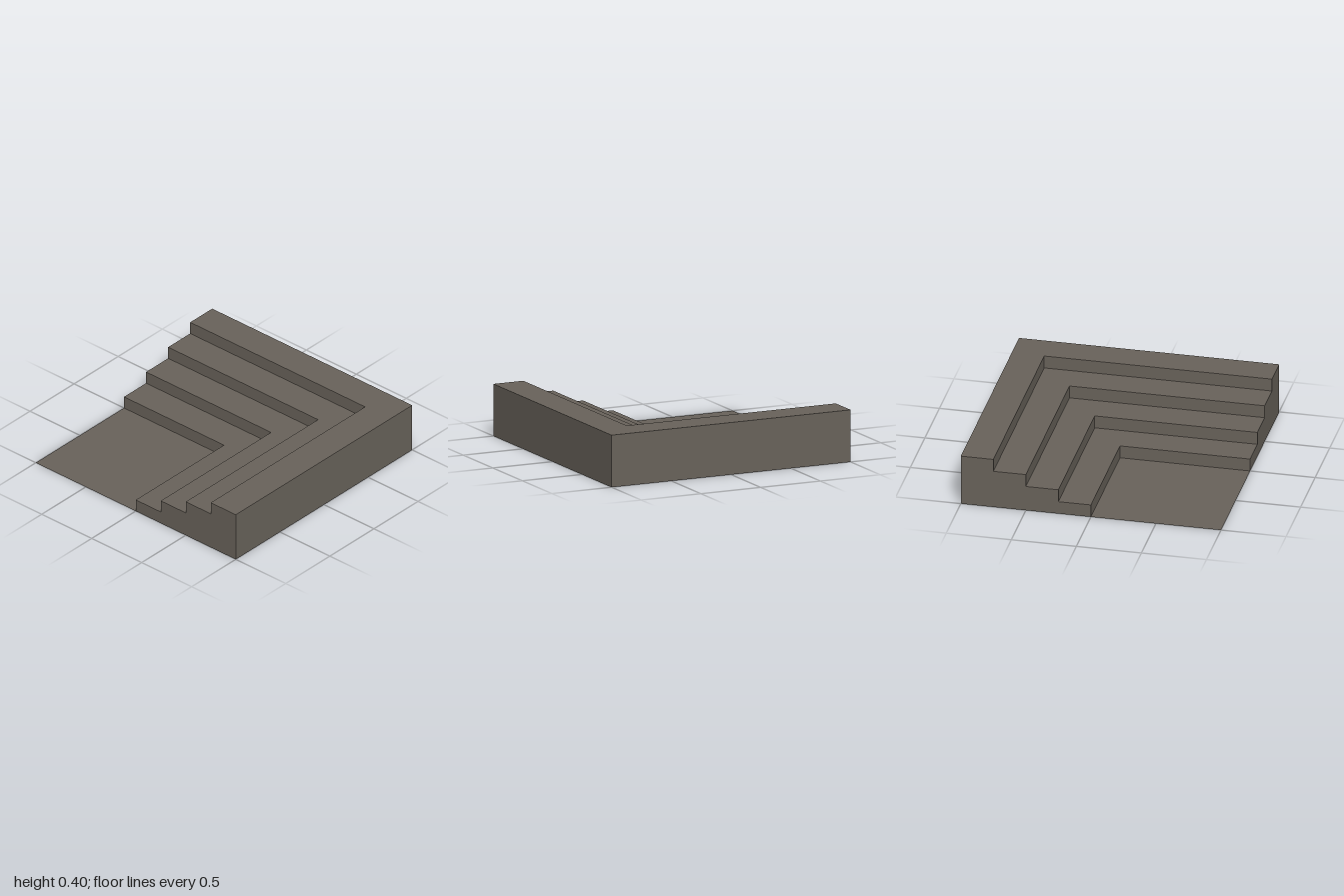
import * as THREE from 'three';

const STEPS = 4, RUN = 0.25, RISE = 0.1, HEIGHT = STEPS * RISE;

export function createModel() {
  const group = new THREE.Group();
  const stone = new THREE.MeshStandardMaterial({ color: 0x68625a, side: THREE.DoubleSide });
  stone.name = 'greyBrownStone';

  const add = (name, geometry, x = 0, y = 0, z = 0) => {
    const mesh = new THREE.Mesh(geometry, stone);
    mesh.name = name;
    mesh.position.set(x, y, z);
    group.add(mesh);
  };
  const flat = (points) =>
    new THREE.ShapeGeometry(new THREE.Shape(points.map(([x, y]) => new THREE.Vector2(x, y))));
  // Horizontal sheet from [x, z] corners, facing up
  const sheet = (points) => flat(points.map(([x, z]) => [x, -z])).rotateX(-Math.PI / 2);
  // Upright panel turned about y; it faces +z when the turn is 0
  const panel = (width, height, turn) => new THREE.PlaneGeometry(width, height).rotateY(turn);

  // Lower landing at the back right corner
  add('landing', sheet([[-1, -1], [-1, 0], [0, 0], [0, -1]]));

  // L-shaped steps rising outwards around the landing
  for (let i = 0; i < STEPS; i++) {
    const a = i * RUN, b = a + RUN;
    const middle = (a - 1) / 2, riserY = (i + 0.5) * RISE;
    add(`frontRiser${i + 1}`, panel(a + 1, RISE, Math.PI), middle, riserY, a);
    add(`leftRiser${i + 1}`, panel(a + 1, RISE, -Math.PI / 2), a, riserY, middle);
    add(`tread${i + 1}`,
      sheet([[-1, a], [a, a], [a, -1], [b, -1], [b, b], [-1, b]]), 0, (i + 1) * RISE, 0);
  }

  // Plain outer walls; the underside stays open
  add('frontWall', panel(2, HEIGHT, 0), 0, HEIGHT / 2, 1);
  add('leftWall', panel(2, HEIGHT, Math.PI / 2), 1, HEIGHT / 2, 0);

  // Stepped end walls
  const profile = [[0, 0]];
  for (let i = 0; i < STEPS; i++) {
    profile.push([i * RUN, (i + 1) * RISE], [(i + 1) * RUN, (i + 1) * RISE]);
  }
  profile.push([1, 0]);
  add('backEndWall', flat(profile.map(([u, y]) => [-u, y])).rotateY(Math.PI), 0, 0, -1);
  add('rightEndWall', flat(profile).rotateY(-Math.PI / 2), -1, 0, 0);

  return group;
}
